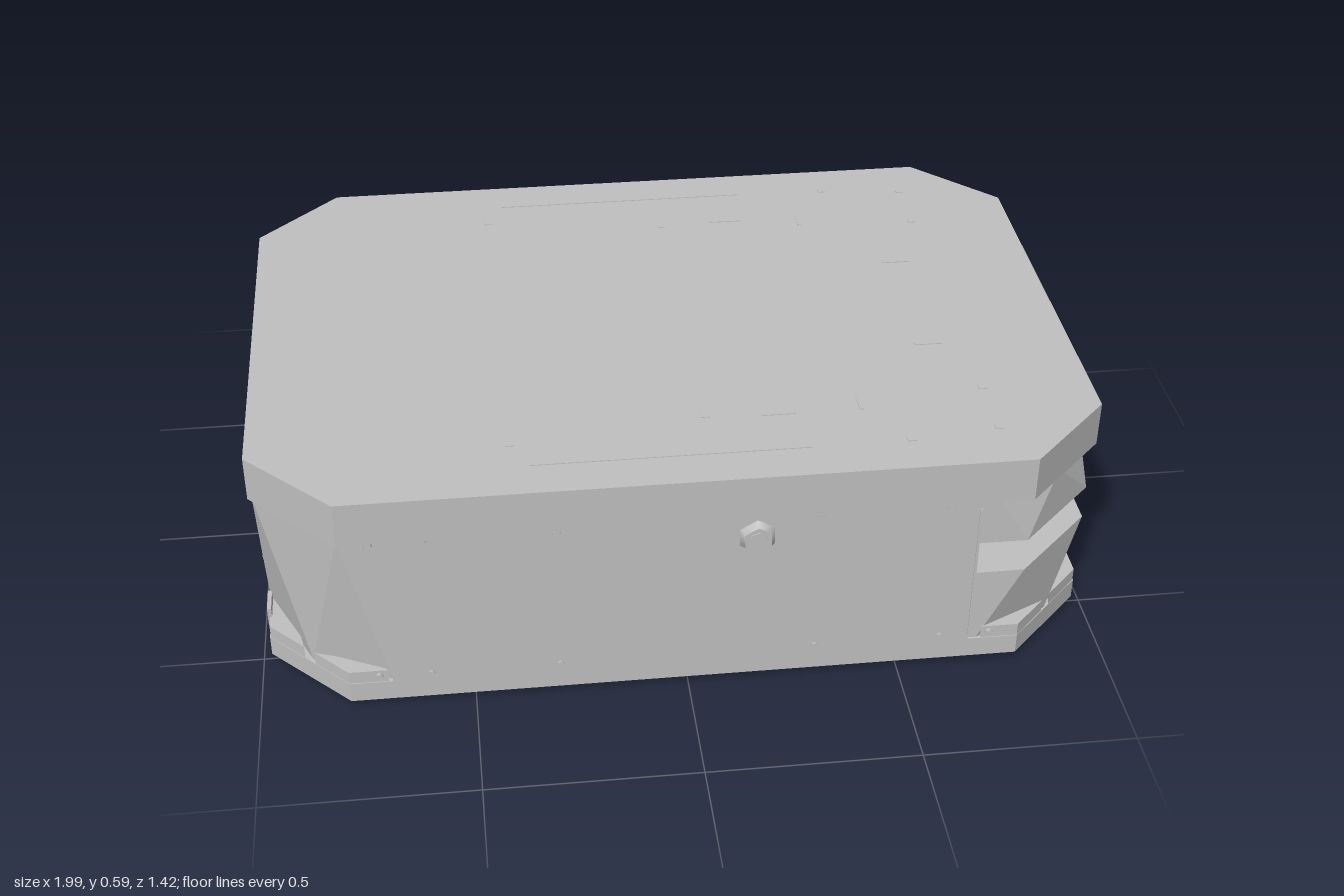
import * as THREE from 'three';
import { ConvexGeometry } from 'three/addons/geometries/ConvexGeometry.js';

const shellGrey = new THREE.MeshStandardMaterial({ color: 0xc0c0c0 });
shellGrey.name = 'shell grey';

export function createModel() {
  const model = new THREE.Group();
  model.name = 'mobilePlatform';

  const add = (name, geometry, x = 0, y = 0, z = 0) => {
    const mesh = new THREE.Mesh(geometry, shellGrey);
    mesh.name = name;
    mesh.position.set(x, y, z);
    model.add(mesh);
    return mesh;
  };
  const box = (name, w, h, d, x, y, z) => add(name, new THREE.BoxGeometry(w, h, d), x, y, z);
  // Each layer is [y, [x, z], ...]; corners are mirrored across z = 0.
  const hull = (name, ...layers) => {
    const points = [];
    for (const [y, ...corners] of layers)
      for (const [x, z] of corners)
        points.push(new THREE.Vector3(x, y, z), new THREE.Vector3(x, y, -z));
    return add(name, new ConvexGeometry(points));
  };
  const path = (points, Type) => new Type(points.map(([x, z]) => new THREE.Vector2(x, z)));
  const octagon = (a, b, c) => [
    [a, b - c], [a - c, b], [c - a, b], [-a, b - c],
    [-a, c - b], [c - a, -b], [a - c, -b], [a, c - b],
  ];
  // Extrude a plan outline upwards from y
  const slab = (name, outline, y, height, holes = []) => {
    const shape = path(outline, THREE.Shape);
    shape.holes = holes.map((h) => path(h, THREE.Path));
    const g = new THREE.ExtrudeGeometry(shape, { depth: height, bevelEnabled: false });
    g.rotateX(-Math.PI / 2);
    return add(name, g, 0, y, 0);
  };

  // Octagonal lid
  slab('lid', octagon(0.99, 0.7, 0.2), 0.478, 0.112);

  // Main body with faceted rear corners
  hull('mainBody',
    [0.48, [0.67, 0.685], [-0.79, 0.685], [-0.98, 0.5]],
    [0.07, [0.67, 0.685], [-0.69, 0.685], [-0.875, 0.595], [-0.98, 0.37]]);

  // Front end split by the scanner slot, corners tapering away from it
  hull('lowerBumper',
    [0.263, [0.6, 0.685], [0.79, 0.685], [0.98, 0.5]],
    [0.065, [0.6, 0.685], [0.69, 0.685], [0.88, 0.595], [0.98, 0.37]]);
  hull('upperBumper',
    [0.35, [0.6, 0.685], [0.79, 0.685], [0.98, 0.5]],
    [0.48, [0.6, 0.685], [0.71, 0.685], [0.875, 0.595], [0.97, 0.42]]);
  hull('scannerCore',
    [0.25, [0.6, 0.66], [0.67, 0.66], [0.81, 0.1]],
    [0.36, [0.6, 0.66], [0.67, 0.66], [0.81, 0.1]]);

  // Underside frame: rim with three bays on each side of the centre beam
  const holes = [];
  for (const s of [1, -1]) {
    holes.push([[-0.185, 0.03 * s], [0.185, 0.03 * s], [0.185, 0.665 * s], [-0.185, 0.665 * s]]);
    for (const e of [1, -1])
      holes.push([[0.235 * e, 0.03 * s], [0.93 * e, 0.03 * s], [0.93 * e, 0.48 * s],
        [0.77 * e, 0.64 * s], [0.235 * e, 0.64 * s]]);
  }
  slab('baseFrame', octagon(0.98, 0.69, 0.19), 0.015, 0.052, holes);
  box('floorPlate', 1.5, 0.02, 1.3, 0, 0.075, 0);

  for (const s of [1, -1]) {
    // Side panels
    box('sidePanel', 1.36, 0.46, 0.012, -0.01, 0.25, 0.686 * s);
    box('panelSeam', 0.006, 0.37, 0.006, 0.67, 0.27, 0.692 * s);

    // Round push button on each flank
    const button = add('sideButton', new THREE.CylinderGeometry(0.035, 0.05, 0.022, 6), 0.155, 0.42, 0.697 * s);
    button.rotation.x = s * Math.PI / 2;
    const cap = add('sideButtonCap', new THREE.CylinderGeometry(0.022, 0.025, 0.02, 8), 0.155, 0.42, 0.7 * s);
    cap.rotation.x = s * Math.PI / 2;

    // Panel screws
    for (const x of [-0.72, -0.6, -0.3, 0.3, 0.6, 0.72])
      for (const y of [0.085, 0.468]) {
        if (x > 0.7 && y > 0.4) continue;
        const screw = add('panelScrew', new THREE.CylinderGeometry(0.009, 0.009, 0.014, 8), x, y, 0.69 * s);
        screw.rotation.x = Math.PI / 2;
      }

    // Bolts under the frame
    for (const [x, z] of [[-0.4, 0.66], [-0.07, 0.66], [0.07, 0.66], [0.4, 0.66], [-0.95, 0.49], [0.95, 0.49]])
      add('frameBolt', new THREE.CylinderGeometry(0.008, 0.008, 0.016, 8), x, 0.008, z * s);
    for (const x of [-0.7, -0.45, 0, 0.45, 0.7])
      for (const z of [0.18, 0.45])
        add('floorBolt', new THREE.CylinderGeometry(0.01, 0.01, 0.01, 6), x, 0.062, z * s);

    for (const e of [1, -1]) {
      // Blocks filling the foot of each corner
      const prism = (name, corners, y0, y1) => add(name, new ConvexGeometry(
        corners.flatMap(([x, z]) => [y0, y1].map((y) => new THREE.Vector3(x * e, y, z * s)))));
      prism('cornerBlock', [[0.7, 0.688], [0.79, 0.688], [0.87, 0.608], [0.72, 0.66]], 0.06, 0.1);
      prism('cornerBlock', [[0.978, 0.39], [0.978, 0.5], [0.895, 0.583], [0.93, 0.42]], 0.06, 0.1);
      // Inward wedge inside the frame corner
      add('cornerWedge', new ConvexGeometry([
        [0.93, 0.066, 0.4], [0.69, 0.066, 0.64], [0.68, 0.066, 0.42],
        [0.93, 0.03, 0.48], [0.77, 0.03, 0.64],
      ].map(([x, y, z]) => new THREE.Vector3(x * e, y, z * s))));
    }

    // Screws on the front bumpers
    for (const [y, z] of [[0.085, 0.39], [0.468, 0.16], [0.225, 0.42]])
      box('bumperScrew', 0.012, 0.014, 0.014, 0.977, y, z * s);

    // Fine fittings on the lid
    box('lidSeam', 0.64, 0.003, 0.006, -0.03, 0.5905, 0.595 * s);
    box('lidSlot', 0.08, 0.003, 0.012, 0.235, 0.5905, 0.455 * s);
    box('lidSlot', 0.07, 0.003, 0.012, 0.645, 0.5905, 0.197 * s);
    box('lidSlot', 0.01, 0.003, 0.05, 0.43, 0.5905, 0.435 * s);
    for (const [x, z] of [[0.065, 0.445], [0.73, 0.4], [0.73, 0.565], [0.52, 0.59], [-0.39, 0.51]])
      box('lidScrew', 0.02, 0.003, 0.016, x, 0.5905, z * s);
  }

  // Front trim line above the base
  box('frontTrim', 0.01, 0.012, 0.78, 0.978, 0.074, 0);

  // Rear connection panel
  const knob = add('rearButton', new THREE.CylinderGeometry(0.025, 0.032, 0.022, 8), -0.987, 0.27, -0.33);
  knob.rotation.z = Math.PI / 2;
  for (const [y, z, h, d] of [[0.14, -0.13, 0.1, 0.13], [0.27, 0.36, 0.07, 0.1], [0.1, 0.43, 0.05, 0.07]])
    box('rearPort', 0.01, h, d, -0.978, y, z);
  for (let i = 0; i < 8; i++)
    box('rearSocket', 0.012, 0.016, 0.016, -0.981, 0.22 + (i % 2) * 0.06, -0.2 + i * 0.06);

  return model;
}
